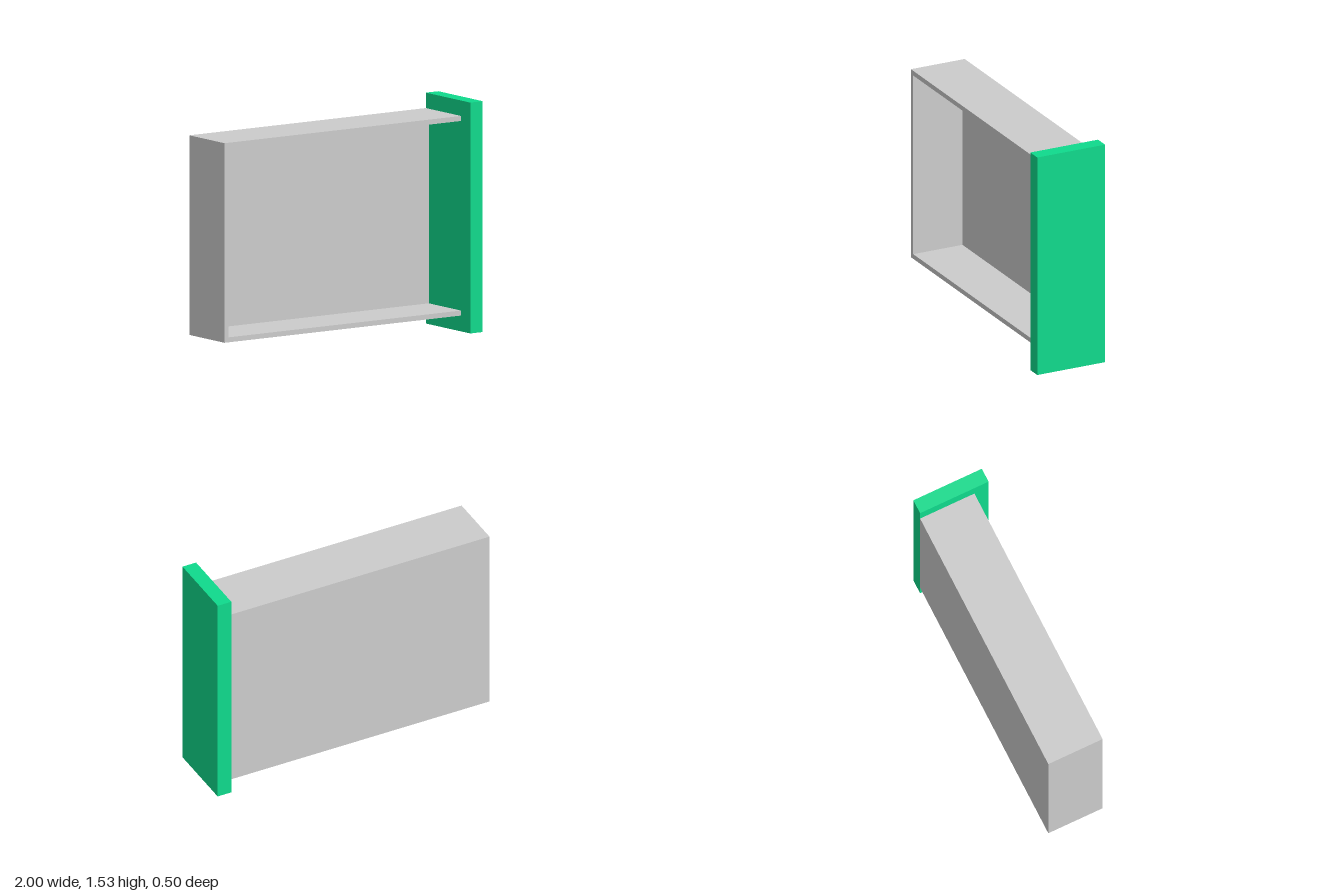
import * as THREE from 'three';

const WALL = 0.033;
const LEFT = -1, RIGHT = 0.9;      // tray extent in x
const BOTTOM = 0.105, TOP = 1.425; // tray extent in y
const BACK = -0.25, OPEN = 0.145;  // tray extent in z

// Box given by its minimum and maximum corners
function slab(name, material, [x0, y0, z0], [x1, y1, z1]) {
  const mesh = new THREE.Mesh(new THREE.BoxGeometry(x1 - x0, y1 - y0, z1 - z0), material);
  mesh.position.set((x0 + x1) / 2, (y0 + y1) / 2, (z0 + z1) / 2);
  mesh.name = name;
  return mesh;
}

export function createModel() {
  const model = new THREE.Group();
  model.name = 'drawer';
  const grey = new THREE.MeshStandardMaterial({ color: 0xcccccc });
  const green = new THREE.MeshStandardMaterial({ color: 0x0fda8c });

  // Three-sided tray wall, closed at its right end by the front panel
  const outline = new THREE.Shape([
    [RIGHT, BOTTOM], [RIGHT, BOTTOM + WALL], [LEFT + WALL, BOTTOM + WALL],
    [LEFT + WALL, TOP - WALL], [RIGHT, TOP - WALL], [RIGHT, TOP],
    [LEFT, TOP], [LEFT, BOTTOM],
  ].map(([x, y]) => new THREE.Vector2(x, y)));
  const walls = new THREE.Mesh(
    new THREE.ExtrudeGeometry(outline, { depth: OPEN - BACK, bevelEnabled: false }), grey);
  walls.position.z = BACK;
  walls.name = 'trayWalls';

  // Tray base, fitted inside the walls
  const base = slab('trayBase', grey,
    [LEFT + WALL, BOTTOM + WALL, BACK], [RIGHT, TOP - WALL, BACK + WALL]);

  // Coloured front panel, overhanging the tray
  const panel = slab('frontPanel', green, [RIGHT, 0, BACK], [1, 1.527, 0.248]);

  model.add(walls, base, panel);
  return model;
}
